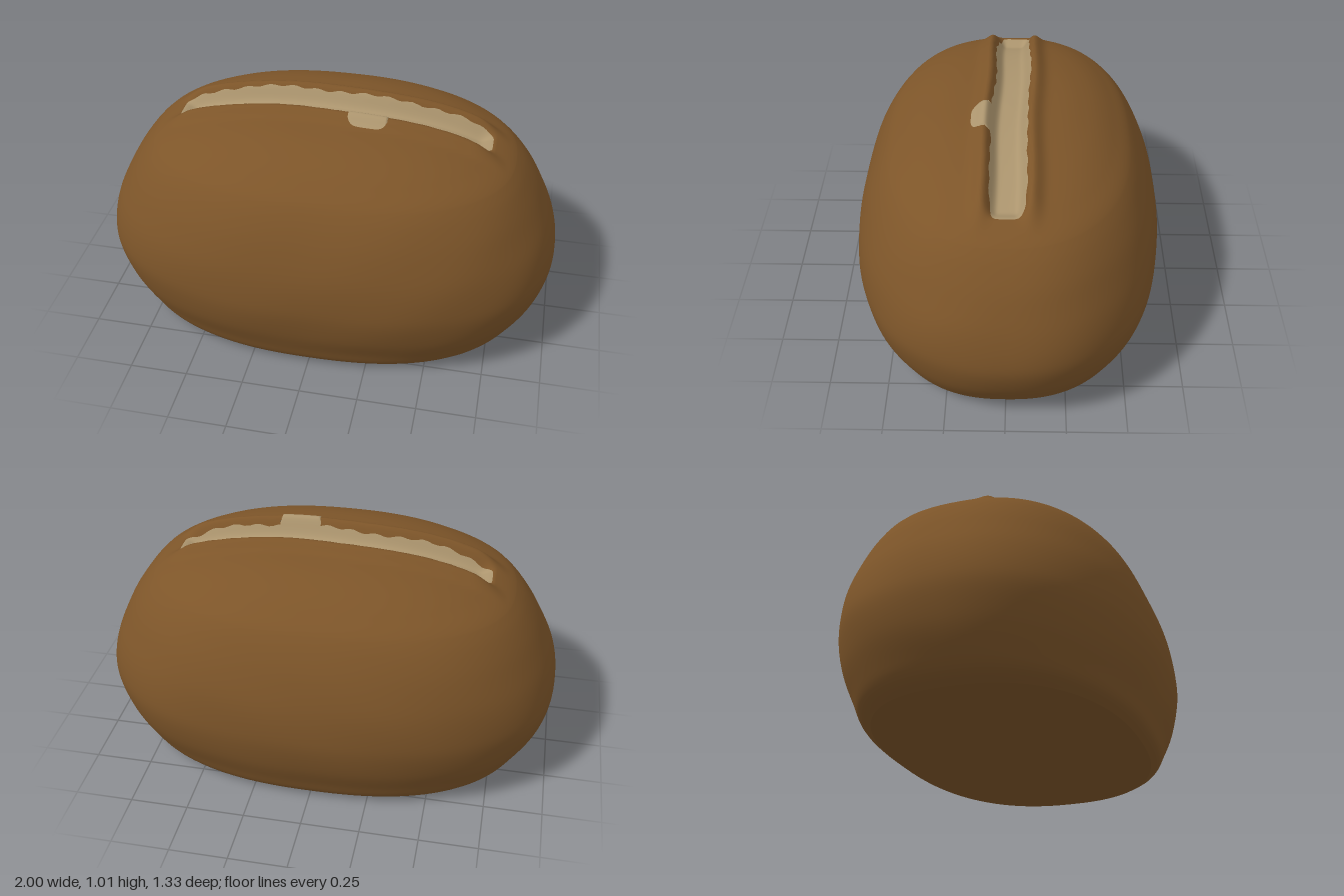
import * as THREE from 'three';

const SEG = 240;
const { lerp, smoothstep } = THREE.MathUtils;

// Half length, height and half depth of the loaf, from base to crown
const profile = new THREE.CatmullRomCurve3([
  [0.795, 0, 0.54], [0.86, 0.035, 0.58], [0.91, 0.1, 0.605], [0.965, 0.2, 0.642],
  [0.998, 0.32, 0.664], [0.995, 0.4, 0.664], [0.97, 0.5, 0.652], [0.925, 0.6, 0.625],
  [0.87, 0.7, 0.585], [0.79, 0.8, 0.525], [0.68, 0.865, 0.45], [0.57, 0.907, 0.385],
  [0.46, 0.935, 0.32], [0.34, 0.955, 0.25], [0.2, 0.968, 0.15], [0, 0.974, 0],
].map(p => new THREE.Vector3(...p))).getPoints(300);

function sizeAt(y) {
  let i = 1;
  while (i < profile.length - 1 && profile[i].y < y) i++;
  const p = profile[i - 1], q = profile[i];
  const t = THREE.MathUtils.clamp((y - p.y) / (q.y - p.y || 1), 0, 1);
  return [lerp(p.x, q.x, t), lerp(p.z, q.z, t)];
}

// Height of the plain dome above a point
function dome(x, z) {
  let lo = 0.4, hi = 0.974;
  for (let i = 0; i < 22; i++) {
    const y = (lo + hi) / 2, [a, b] = sizeAt(y);
    if ((Math.abs(x) / a) ** 2.4 + (Math.abs(z) / b) ** 2.4 < 1) lo = y; else hi = y;
  }
  return lo;
}

const slashCentre = x => -0.006 + 0.014 * x + 0.004 * Math.sin(9 * x);

// Dome with the raised lips and the sunken slash
function topHeight(x, z) {
  const d = Math.abs(z - slashCentre(x)), ax = Math.abs(x);
  const lip = 0.033 * Math.exp(-(((d - 0.1) / 0.035) ** 2)) * (1 - smoothstep(ax, 0.6, 0.76));
  const cut = 0.045 * (1 - smoothstep(d, 0.035, 0.095)) * (1 - smoothstep(ax, 0.62, 0.7));
  return dome(x, z) + lip - cut;
}

// Gentle hand-shaped unevenness
function uneven(p) {
  const n = Math.sin(5 * p.x + 3 * p.y + 1) * Math.sin(6 * p.z + 2 * p.x)
    + 0.5 * Math.sin(11 * p.x - 7 * p.y) * Math.sin(9 * p.y + 8 * p.z);
  const k = 1 + 0.005 * n * smoothstep(p.y, 0, 0.15) * (1 - smoothstep(p.y, 0.75, 0.9));
  p.x *= k;
  p.z *= k;
  return p;
}

// Rounded-rectangle loop of radius a by b
function loop(a, b, n, place) {
  return Array.from({ length: SEG }, (_, j) => {
    const t = j / SEG * Math.PI * 2, c = Math.cos(t), s = Math.sin(t);
    const r = (Math.abs(c) ** n + Math.abs(s) ** n) ** (-1 / n);
    return uneven(place(a * r * c, b * r * s));
  });
}

function skin(rings) {
  const pos = [], index = [];
  rings.forEach(ring => ring.forEach(p => pos.push(p.x, p.y, p.z)));
  for (let i = 0; i < rings.length - 1; i++) for (let j = 0; j < SEG; j++) {
    const a = i * SEG + j, b = i * SEG + (j + 1) % SEG;
    index.push(a, a + SEG, b, b, a + SEG, b + SEG);
  }
  const g = new THREE.BufferGeometry();
  g.setAttribute('position', new THREE.Float32BufferAttribute(pos, 3));
  g.setIndex(index);
  g.computeVertexNormals();
  return g;
}

export function createModel() {
  const crust = new THREE.MeshStandardMaterial({ color: 0x7d5529 });
  crust.name = 'crust brown';
  const crumb = new THREE.MeshStandardMaterial({ color: 0xac956e, side: THREE.DoubleSide });
  crumb.name = 'crumb beige';
  const group = new THREE.Group();
  group.name = 'breadRoll';
  const add = (name, geometry, material) => {
    const m = new THREE.Mesh(geometry, material);
    m.name = name;
    group.add(m);
  };

  // Sides, from the flat base to the shoulder
  const rings = [];
  for (let i = 0; i <= 40; i++) {
    const y = 0.8 * (i / 40) ** 1.3, [a, b] = sizeAt(y);
    rings.push(loop(a, b, 2.4, (x, z) => new THREE.Vector3(x, y, z)));
  }
  const baseRing = rings[0];

  // Crown, closing in on the slash edge
  for (let i = 1; i <= 40; i++) {
    const u = i / 40;
    rings.push(loop(lerp(0.79, 0.685, u), lerp(0.525, 0.076, u), lerp(2.4, 7, u * u), (x, z) => {
      const rag = u ** 8 * 0.005 * Math.sin(37 * x) * Math.sin(23 * x + z * 9);
      const zz = z + u * u * (slashCentre(x) - 0.004) + rag;
      return new THREE.Vector3(x, topHeight(x, zz), zz);
    }));
  }
  const crustCount = (rings.length - 1) * SEG * 6;

  // Exposed crumb inside the slash
  for (let i = 1; i <= 10; i++) {
    const u = i / 10;
    rings.push(loop(lerp(0.685, 0.6, u), 0.076 * (1 - u), 7, (x, z) => {
      const zz = z + slashCentre(x) - 0.004 * (1 - u);
      return new THREE.Vector3(x, topHeight(x, zz), zz);
    }));
  }
  const body = skin(rings);
  body.addGroup(0, crustCount, 0);
  body.addGroup(crustCount, body.index.count - crustCount, 1);
  add('crustAndSlash', body, [crust, crumb]);

  // Flat underside
  const base = new THREE.ShapeGeometry(new THREE.Shape(baseRing.map(p => new THREE.Vector2(p.x, -p.z))));
  base.rotateX(Math.PI / 2);
  base.scale(1, 1, -1);
  const flip = base.index.array;
  for (let i = 0; i < flip.length; i += 3) [flip[i], flip[i + 1]] = [flip[i + 1], flip[i]];
  // Wind every triangle to face down
  const bp = base.attributes.position;
  for (let i = 0; i < flip.length; i += 3) {
    const [a, b, c] = [flip[i], flip[i + 1], flip[i + 2]];
    const ny = (bp.getZ(b) - bp.getZ(a)) * (bp.getX(c) - bp.getX(a))
      - (bp.getX(b) - bp.getX(a)) * (bp.getZ(c) - bp.getZ(a));
    if (ny > 0) [flip[i + 1], flip[i + 2]] = [c, b];
  }
  base.computeVertexNormals();
  add('underside', base, crust);

  // Torn flap of crumb spilling over the front lip
  const flap = new THREE.PlaneGeometry(2, 1, 24, 16);
  const fp = flap.attributes.position;
  for (let i = 0; i < fp.count; i++) {
    const u = fp.getX(i), v = 0.5 - fp.getY(i);
    const x = 0.165 + 0.09 * u;
    const z = 0.06 + v * (0.025 + 0.07 * Math.sqrt(Math.max(0, 1 - u ** 4)));
    fp.setXYZ(i, x, topHeight(x, z) + 0.004, z);
  }
  flap.computeVertexNormals();
  add('crumbFlap', flap, crumb);
  return group;
}
